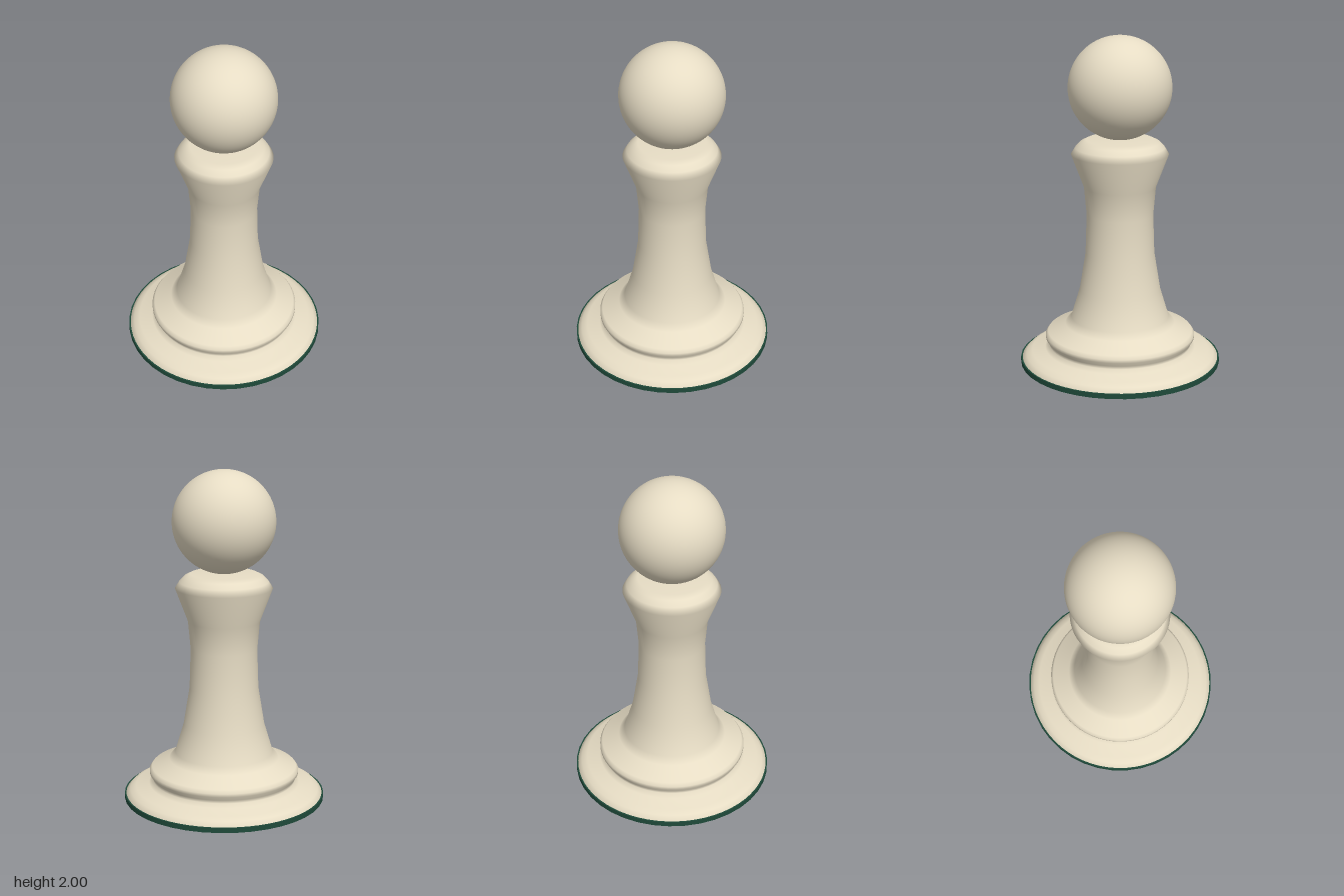
import * as THREE from 'three';

export function createModel() {
  const group = new THREE.Group();
  const ivory = new THREE.MeshStandardMaterial({ color: 0xe6dcc4 });
  const green = new THREE.MeshStandardMaterial({ color: 0x1f4a3a });

  const add = (name, geometry, material, y = 0) => {
    const mesh = new THREE.Mesh(geometry, material);
    mesh.name = name;
    mesh.position.y = y;
    group.add(mesh);
  };

  // Thin felt disc under the foot
  add('feltPad', new THREE.CylinderGeometry(0.61, 0.61, 0.03, 40), green, 0.015);

  // Turned body: flared foot, ring, waisted stem and collar (radius, height)
  const profile = [
    [0, 0.015], [0.595, 0.015], [0.6, 0.03], [0.575, 0.055], [0.54, 0.073],
    [0.46, 0.09], [0.435, 0.11], [0.438, 0.13], [0.455, 0.155], [0.455, 0.175],
    [0.44, 0.195], [0.335, 0.245], [0.297, 0.285], [0.245, 0.46], [0.208, 0.69],
    [0.2, 0.93], [0.215, 1.1], [0.29, 1.3], [0.265, 1.34], [0.235, 1.37],
    [0.2, 1.387], [0, 1.39],
  ].map(([r, y]) => new THREE.Vector2(r, y));
  add('body', new THREE.LatheGeometry(profile, 64), ivory);

  // Ball resting on the collar
  add('head', new THREE.SphereGeometry(0.306, 64, 40), ivory, 1.694);

  return group;
}
